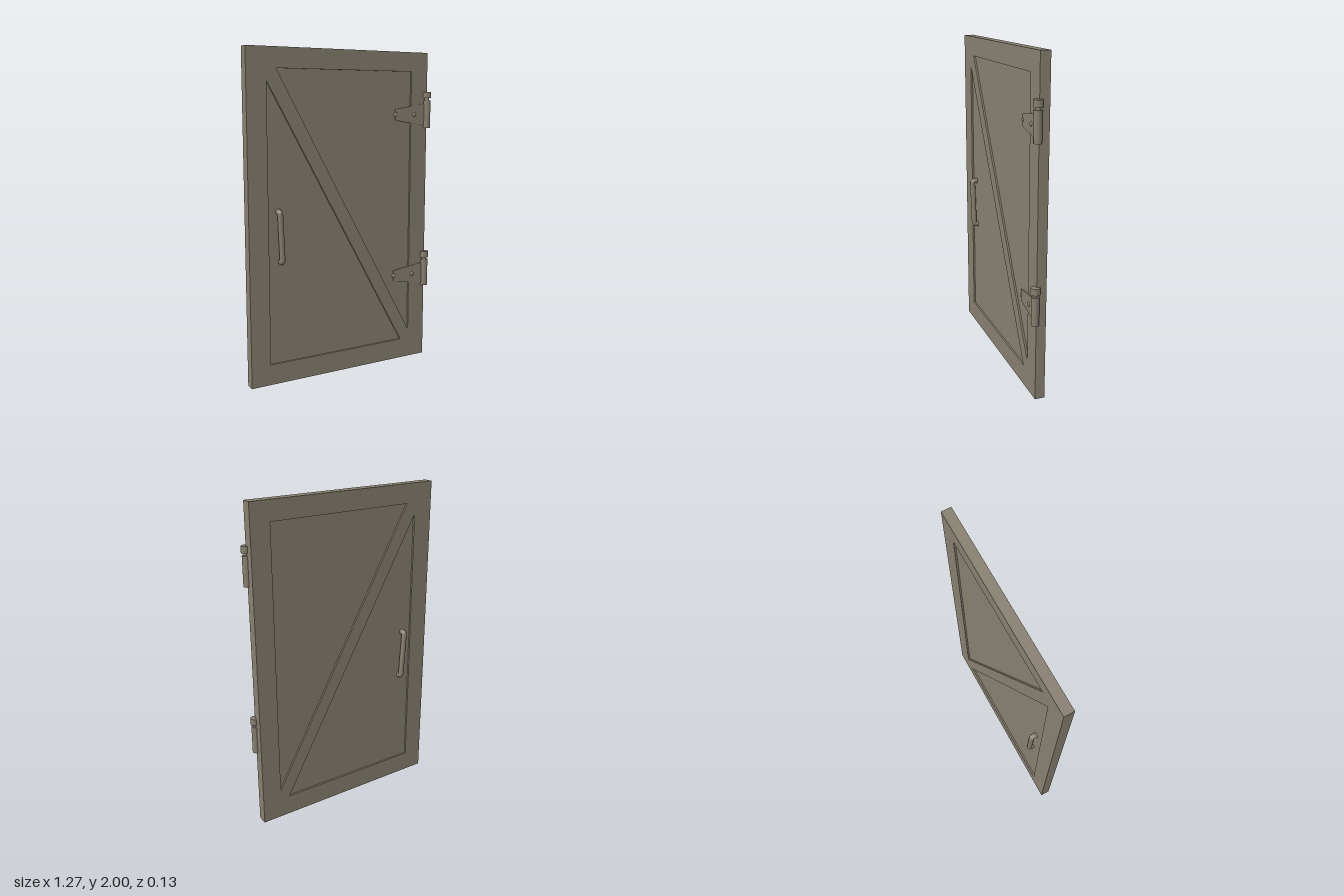
import * as THREE from 'three';

const paint = new THREE.MeshStandardMaterial({ color: 0x878070 });
paint.name = 'drab paint';

function mesh(name, geometry, x = 0, y = 0, z = 0) {
  const m = new THREE.Mesh(geometry, paint);
  m.name = name;
  m.position.set(x, y, z);
  return m;
}

const points = (list) => list.map(([x, y]) => new THREE.Vector2(x, y));

function slab(outline, depth, holes = []) {
  const shape = new THREE.Shape(points(outline));
  holes.forEach((h) => shape.holes.push(new THREE.Path(points(h))));
  return new THREE.ExtrudeGeometry(shape, { depth, bevelEnabled: false }).translate(0, 0, -depth / 2);
}

// Z-braced door: frame with two triangular openings, closed by thinner panels
function door() {
  const g = new THREE.Group();
  g.name = 'door';
  const lower = [[-0.515, 1.81], [-0.515, 0.127], [0.427, 0.127]];
  const upper = [[-0.455, 1.88], [0.487, 1.88], [0.487, 0.187]];
  const outer = [[-0.64, 0], [0.61, 0], [0.61, 2], [-0.64, 2]];
  g.add(mesh('frame', slab(outer, 0.06, [lower, upper])));
  g.add(mesh('lowerPanel', slab(lower, 0.038)));
  g.add(mesh('upperPanel', slab(upper, 0.038)));
  return g;
}

// Slightly slanted pull handle; side is +1 for front, -1 for back
function handle(side) {
  const path = new THREE.CurvePath();
  const p = [
    [-0.45, 1.053, 0.02], [-0.45, 1.053, 0.05], [-0.436, 0.752, 0.046], [-0.436, 0.752, 0.02],
  ].map(([x, y, z]) => new THREE.Vector3(x, y, side * z));
  // Rounded corners between the posts and the grip
  const a = p[1].clone().lerp(p[2], 0.05);
  const b = p[2].clone().lerp(p[1], 0.05);
  const c = p[1].clone().lerp(p[0], 0.5);
  const d = p[2].clone().lerp(p[3], 0.5);
  path.add(new THREE.LineCurve3(p[0], c));
  path.add(new THREE.QuadraticBezierCurve3(c, p[1], a));
  path.add(new THREE.LineCurve3(a, b));
  path.add(new THREE.QuadraticBezierCurve3(b, p[2], d));
  path.add(new THREE.LineCurve3(d, p[3]));
  const tube = new THREE.TubeGeometry(path, 80, 0.017, 12);
  return mesh(side > 0 ? 'frontHandle' : 'backHandle', tube);
}

// Strap hinge: tapered leaf, rivets, barrel and capped pin
function hinge(name, y) {
  const g = new THREE.Group();
  g.name = name;
  g.position.y = y;
  const leaf = slab([[-0.235, -0.035], [0, -0.072], [0, 0.072], [-0.235, 0.035]], 0.01);
  const leafMesh = mesh('leaf', leaf, 0.605, 0, 0.033);
  leafMesh.rotation.y = -0.05;
  g.add(leafMesh);
  [[0.375, 0.021], [0.51, 0.031]].forEach(([x, z]) => {
    const dome = new THREE.SphereGeometry(0.014, 12, 8).scale(1, 1, 0.8);
    g.add(mesh('rivet', dome, x, 0, z));
  });
  const barrel = (n, r, y0, y1) =>
    g.add(mesh(n, new THREE.CylinderGeometry(r, r, y1 - y0, 10), 0.607, (y0 + y1) / 2, 0.036));
  barrel('barrel', 0.024, -0.085, 0.09);
  barrel('pin', 0.015, 0.085, 0.11);
  barrel('pinHead', 0.028, 0.105, 0.145);
  return g;
}

export function createModel() {
  const model = new THREE.Group();
  model.name = 'bracedDoor';
  model.add(door(), handle(1), handle(-1));
  model.add(hinge('upperHinge', 1.61), hinge('lowerHinge', 0.565));
  return model;
}
